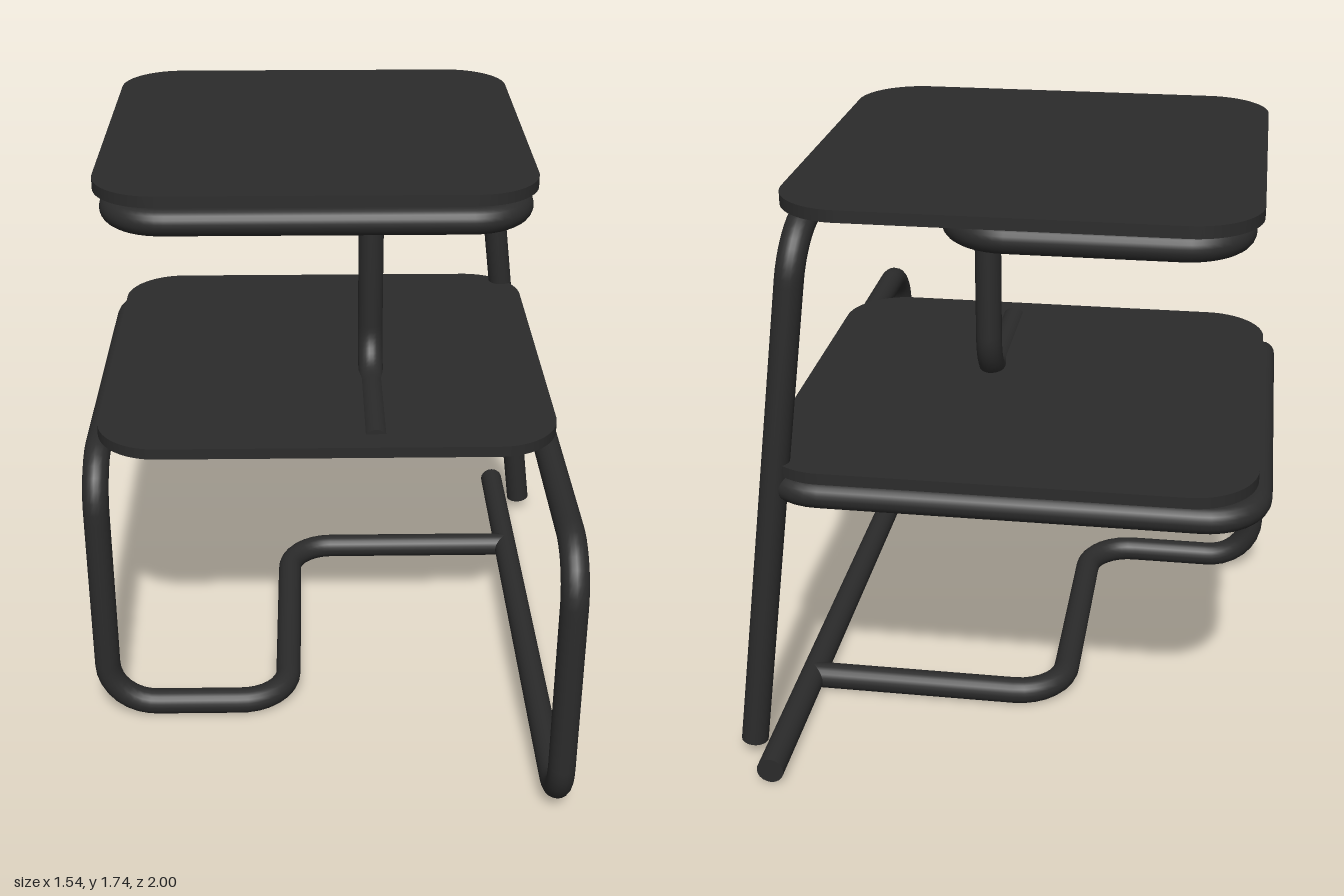
import * as THREE from 'three';

const TUBE_R = 0.04;

// Path through the corner points, each corner rounded to the bend radius
function bentPath(corners, bend) {
  const p = corners.map((c) => new THREE.Vector3(...c));
  const path = new THREE.CurvePath();
  let from = p[0];
  for (let i = 1; i < p.length - 1; i++) {
    const u = p[i].clone().sub(p[i - 1]).normalize();
    const v = p[i + 1].clone().sub(p[i]).normalize();
    const angle = u.angleTo(v);
    const cut = bend * Math.tan(angle / 2);
    const handle = (4 / 3) * bend * Math.tan(angle / 4);
    const a = p[i].clone().addScaledVector(u, -cut);
    const b = p[i].clone().addScaledVector(v, cut);
    path.add(new THREE.LineCurve3(from, a));
    path.add(new THREE.CubicBezierCurve3(
      a, a.clone().addScaledVector(u, handle), b.clone().addScaledVector(v, -handle), b));
    from = b;
  }
  path.add(new THREE.LineCurve3(from, p[p.length - 1]));
  return path;
}

// Bent steel tube with a flat cap on both ends
function bentTube(name, corners, material) {
  const group = new THREE.Group();
  group.name = name;
  const path = bentPath(corners, 0.15);
  const tube = new THREE.Mesh(new THREE.TubeGeometry(path, 320, TUBE_R, 20, false), material);
  tube.name = name + 'Tube';
  group.add(tube);
  for (const [t, sign] of [[0, -1], [1, 1]]) {
    const cap = new THREE.Mesh(new THREE.CircleGeometry(TUBE_R, 20), material);
    cap.name = name + 'EndCap';
    const end = path.getPointAt(t);
    cap.position.copy(end);
    cap.lookAt(end.clone().addScaledVector(path.getTangentAt(t), sign));
    group.add(cap);
  }
  return group;
}

// Flat board with rounded corners, lying between y0 and y1
function board(name, x0, x1, z0, z1, y0, y1, material) {
  const r = 0.19;
  const s = new THREE.Shape();
  s.absarc(x1 - r, -z0 - r, r, 0, Math.PI / 2);
  s.absarc(x0 + r, -z0 - r, r, Math.PI / 2, Math.PI);
  s.absarc(x0 + r, -z1 + r, r, Math.PI, Math.PI * 1.5);
  s.absarc(x1 - r, -z1 + r, r, Math.PI * 1.5, Math.PI * 2);
  const geometry = new THREE.ExtrudeGeometry(s, { depth: y1 - y0, bevelEnabled: false, curveSegments: 14 });
  geometry.rotateX(-Math.PI / 2).translate(0, y0, 0);
  const mesh = new THREE.Mesh(geometry, material);
  mesh.name = name;
  return mesh;
}

export function createModel() {
  const model = new THREE.Group();
  model.name = 'twoTierTable';
  const black = new THREE.MeshStandardMaterial({ color: 0x2b2b2b });
  black.name = 'charcoal black';

  // Lower frame: floor rail, front leg, shelf ring, second leg and the zigzag foot
  model.add(bentTube('lowerFrame', [
    [0.64, 0.04, -1], [0.64, 0.04, 0.96], [0.64, 0.893, 0.96], [0.64, 0.893, -0.85],
    [-0.73, 0.893, -0.85], [-0.73, 0.893, 0.435], [-0.73, 0.04, 0.435],
    [-0.16, 0.04, 0.435], [-0.16, 0.04, -0.5], [0.64, 0.04, -0.5],
  ], black));

  // Upper frame: slanted back leg, top ring, post and the tongue in the lower board
  model.add(bentTube('upperFrame', [
    [0.728, 0.042, -0.852], [0.528, 1.65, -0.793], [0.528, 1.65, 0.375],
    [-0.645, 1.65, 0.375], [-0.645, 1.65, -0.793], [0.115, 1.65, -0.793],
    [0.115, 1.65, -0.15], [0.115, 0.947, -0.15], [0.115, 0.947, 0.375],
  ], black));

  model.add(board('lowerBoard', -0.73, 0.67, -0.88, 0.46, 0.938, 0.972, black));
  model.add(board('topBoard', -0.703, 0.582, -0.88, 0.405, 1.702, 1.736, black));
  return model;
}
